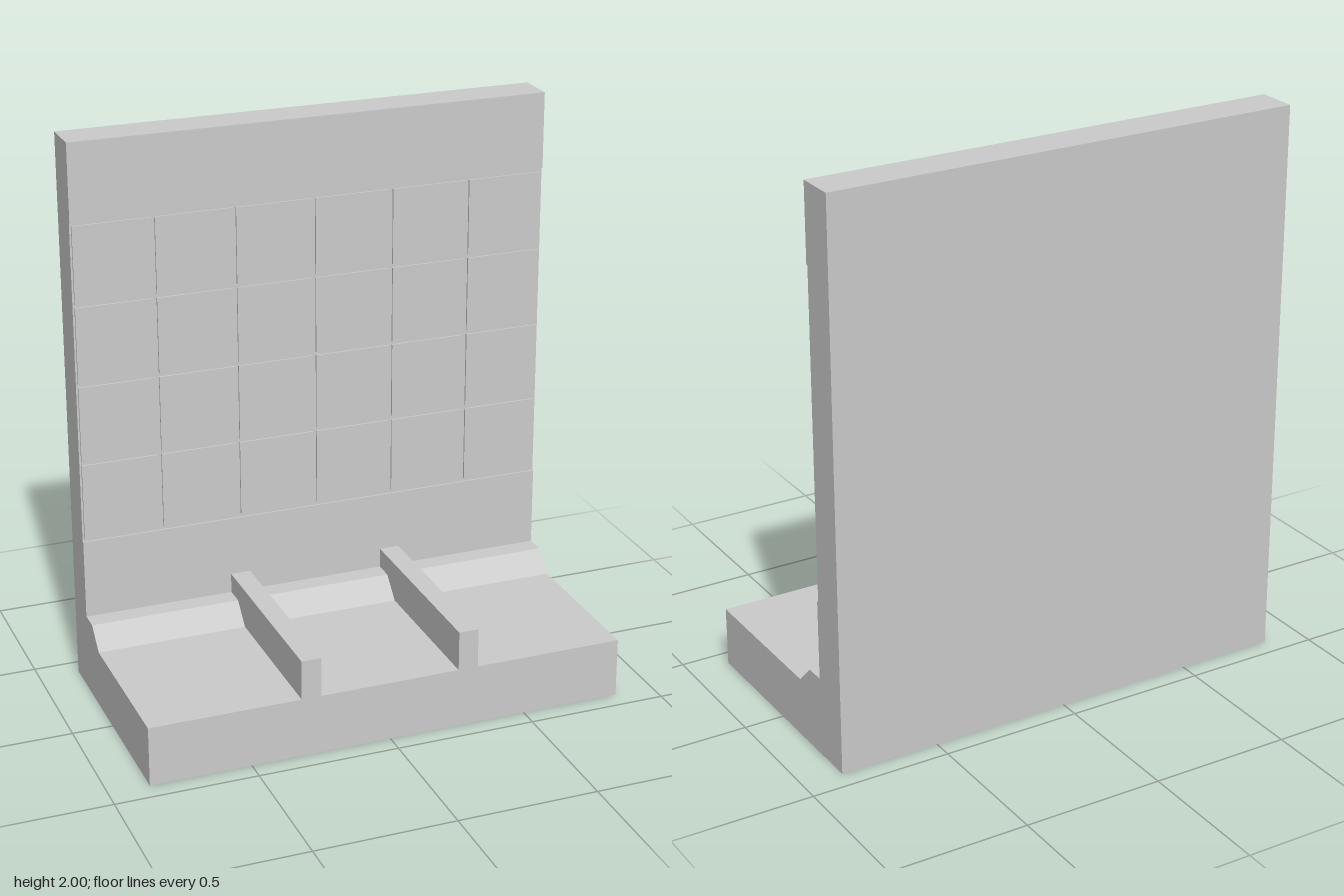
import * as THREE from 'three';

const U = 1 / 7;            // module size
const WIDTH = 12 * U;
const GROOVE = 0.013;       // groove width between tiles
const DEPTH = 0.007;        // groove depth

export function createModel() {
  const group = new THREE.Group();
  const material = new THREE.MeshStandardMaterial({ color: 0xcccccc, flatShading: true });

  function add(name, geometry, x = 0, y = 0, z = 0) {
    const mesh = new THREE.Mesh(geometry, material);
    mesh.name = name;
    mesh.position.set(x, y, z);
    group.add(mesh);
  }

  // Floor, sloped kerb and wall as one side profile (z, y), with a shallow recess for the tiles
  const face = -2 * U;
  const recessBottom = 4 * U, recessTop = 12 * U + GROOVE;
  const profile = [
    [3 * U, 0], [3 * U, 1.5 * U], [-U, 1.5 * U], [-1.5 * U, 2 * U], [face, 2 * U],
    [face, recessBottom], [face - DEPTH, recessBottom],
    [face - DEPTH, recessTop], [face, recessTop],
    [face, 14 * U], [-3 * U, 14 * U], [-3 * U, 0],
  ];
  const shape = new THREE.Shape(profile.map(([z, y]) => new THREE.Vector2(-z, y)));
  const body = new THREE.ExtrudeGeometry(shape, { depth: WIDTH, bevelEnabled: false });
  body.rotateY(Math.PI / 2).translate(-WIDTH / 2, 0, 0);
  add('floorAndWall', body);

  // Wall tiles, six across and four high, separated by grooves
  const pitch = 2 * U;
  const tile = new THREE.BoxGeometry(pitch - GROOVE, pitch - GROOVE, DEPTH);
  for (let row = 0; row < 4; row++) {
    for (let col = 0; col < 6; col++) {
      add('wallTile', tile,
        (col - 2.5) * pitch,
        recessBottom + GROOVE / 2 + (row + 0.5) * pitch,
        face - DEPTH / 2);
    }
  }

  // Two low dividers running from the wall to the front edge
  const divider = new THREE.BoxGeometry(0.5 * U, U, 5 * U);
  for (const side of [-1, 1]) add('divider', divider, side * 2 * U, 2 * U, 0.5 * U);

  return group;
}
